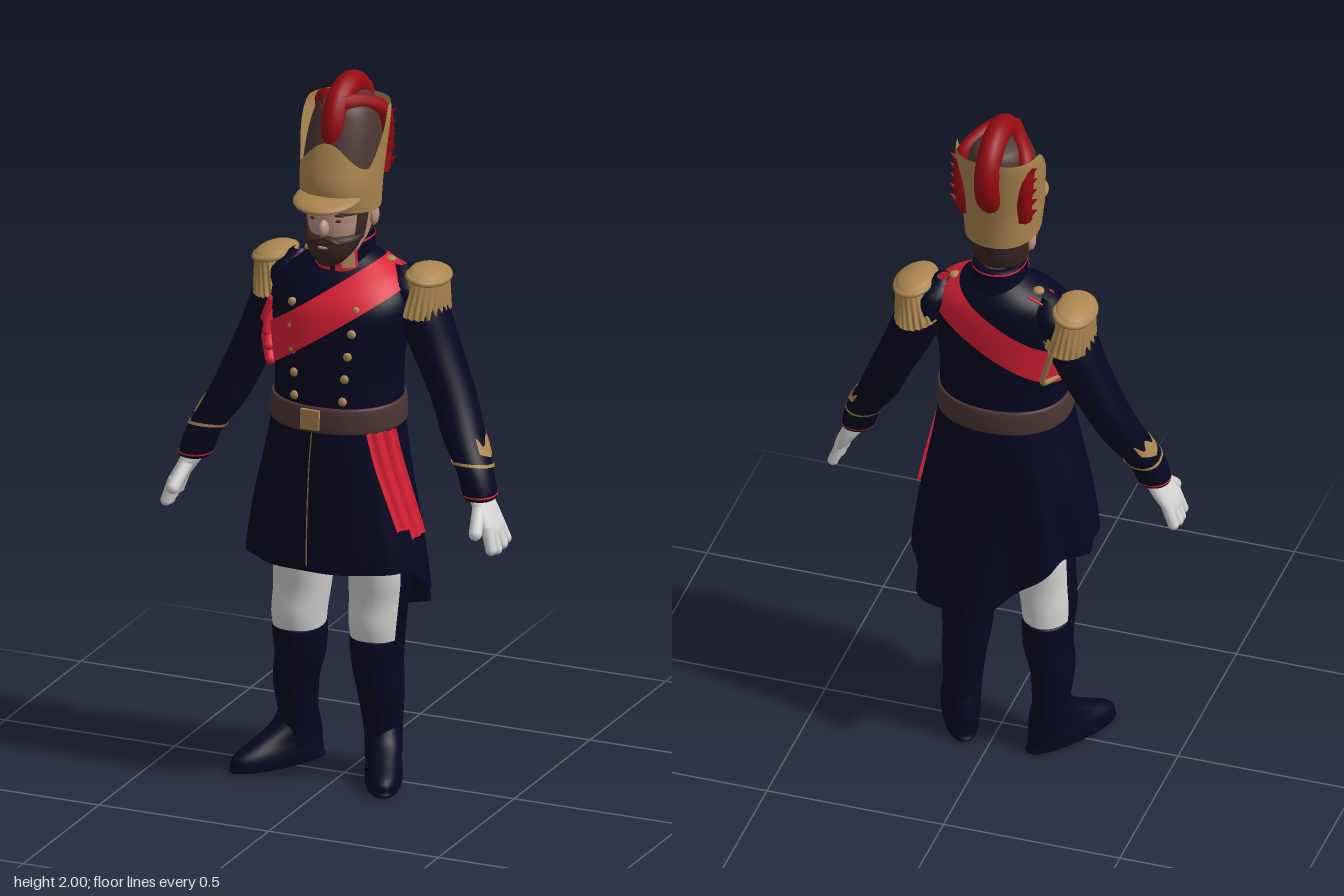
import * as THREE from 'three';
import { mergeVertices } from 'three/addons/utils/BufferGeometryUtils.js';

const make = (name, color, side = THREE.FrontSide) => new THREE.MeshStandardMaterial({ name, color, side });

// Smooth grid surface from a rule (u to the right, v upward, seen from outside)
function surf(fn, nu, nv) {
  const pos = [], index = [];
  for (let j = 0; j <= nv; j++) for (let i = 0; i <= nu; i++) pos.push(...fn(i / nu, j / nv));
  for (let j = 0; j < nv; j++) for (let i = 0; i < nu; i++) {
    const a = j * (nu + 1) + i, b = a + nu + 1;
    index.push(a, a + 1, b, a + 1, b + 1, b);
  }
  let g = new THREE.BufferGeometry();
  g.setAttribute('position', new THREE.Float32BufferAttribute(pos, 3));
  g.setIndex(index);
  g = mergeVertices(g, 1e-5);
  g.computeVertexNormals();
  return g;
}

// Cross-sections are [y, centre x, centre z, radius x, radius z], from low to high
function refine(rows) {
  const c = new THREE.CatmullRomCurve3(rows.map(r => new THREE.Vector3(r[0], r[1], r[2])), false, 'catmullrom');
  const d = new THREE.CatmullRomCurve3(rows.map(r => new THREE.Vector3(r[3], r[4], 0)), false, 'catmullrom');
  const n = (rows.length - 1) * 4;
  return Array.from({ length: n + 1 }, (_, i) => {
    const p = c.getPoint(i / n), q = d.getPoint(i / n);
    return [p.x, p.y, p.z, q.x, q.y];
  });
}
const pw = t => Math.sign(t) * Math.abs(t) ** 0.92;
const ring = (s, a, off = 0) => [s[1] + (s[3] + off) * pw(Math.sin(a)), s[0], s[2] + (s[4] + off) * pw(Math.cos(a))];
function onBody(rows, a, y, off = 0) {
  let i = 0;
  while (i < rows.length - 2 && rows[i + 1][0] < y) i++;
  const t = THREE.MathUtils.clamp((y - rows[i][0]) / (rows[i + 1][0] - rows[i][0]), 0, 1);
  const s = rows[i].map((v, k) => v + (rows[i + 1][k] - v) * t);
  s[0] = y;
  return ring(s, a, off);
}
const loft = (rows, n = 32) => surf((u, v) => ring(rows[Math.round(v * (rows.length - 1))], u * Math.PI * 2), n, rows.length - 1);
const val = (f, ...x) => (typeof f === 'function' ? f(...x) : f);
// Patch lying on a lofted body between two angles and two heights
const wrap = (rows, a0, a1, y0, y1, off, nu = 24, nv = 8) => surf((u, v) => {
  const a = a0 + (a1 - a0) * u, lo = val(y0, a), hi = val(y1, a);
  return onBody(rows, a, lo + (hi - lo) * v, val(off, a, v));
}, nu, nv);

export function createModel() {
  const root = new THREE.Group();
  const navy = make('navy cloth', 0x060621), gold = make('gold', 0xac8650, THREE.DoubleSide);
  const red = make('sash red', 0xdc2036, THREE.DoubleSide), plume = make('plume red', 0x960a11);
  const white = make('white cloth', 0xd4d4d2), brown = make('brown leather', 0x4c3633);
  const skin = make('skin', 0xbc9280), hair = make('dark hair', 0x3c2723, THREE.DoubleSide);

  const add = (name, geo, mat, parent = root) => {
    const m = new THREE.Mesh(geo, mat);
    m.name = name;
    parent.add(m);
    return m;
  };
  const ball = (name, mat, p, s, parent) => {
    const m = add(name, new THREE.SphereGeometry(1, 20, 12), mat, parent);
    m.position.set(...p);
    m.scale.set(...s);
    return m;
  };
  const bar = (name, mat, a, b, r) => {
    const p = new THREE.Vector3(...a), q = new THREE.Vector3(...b), d = q.clone().sub(p);
    const m = add(name, new THREE.CapsuleGeometry(r, d.length(), 5, 10), mat);
    m.position.copy(p).add(q).multiplyScalar(0.5);
    m.quaternion.setFromUnitVectors(new THREE.Vector3(0, 1, 0), d.normalize());
  };
  const TAU = Math.PI * 2;

  // Coat body
  const torso = refine([[1.04, 0, .035, .178, .152], [1.2, 0, .028, .176, .148], [1.3, 0, .018, .19, .148],
    [1.38, 0, .007, .198, .142], [1.44, 0, -.012, .165, .118], [1.48, 0, -.024, .11, .084], [1.51, 0, -.02, .055, .06]]);
  add('coatBody', loft(torso, 48), navy);
  const collar = refine([[1.45, 0, -.02, .085, .095], [1.5, 0, -.016, .074, .088], [1.545, 0, -.016, .07, .082], [1.546, 0, -.016, .05, .06]]);
  add('collar', loft(collar), navy);
  add('collarPiping', wrap(collar, 0, TAU, 1.54, 1.545, .003, 32, 1), red);
  for (const s of [-1, 1]) {
    add('collarTab', wrap(collar, s * .45 - .38, s * .45 + .38, 1.466, 1.53, .006, 8, 3), red);
    add('collarLace', wrap(collar, s * .5 - .22, s * .5 + .22, 1.478, 1.52, .01, 8, 2), gold);
  }

  // Coat skirt, longest at the back left, with a lining
  const skirt = refine([[.42, -.005, 0, .255, .195], [.63, -.01, .02, .25, .18], [.8, -.01, .025, .226, .174],
    [.95, -.005, .03, .196, .168], [1.06, 0, .035, .18, .155]]);
  const hem = a => .64 - .19 * Math.max(0, -Math.cos(a + .3)) ** (Math.sin(a + .3) < 0 ? 3.5 : 1);
  const folds = (a, v) => (1 - v) * Math.cos(9 * (a - Math.PI + .1)) * (.009 - .007 * Math.cos(a));
  add('coatSkirt', wrap(skirt, 0, TAU, hem, 1.06, folds, 96, 14), navy);
  add('skirtLining', wrap(skirt, TAU, 0, hem, 1.04, (a, v) => folds(a, v) - .006, 96, 14), navy);
  add('liningPanel', wrap(skirt, Math.PI + .17, Math.PI - .13, hem, .85, (a, v) => folds(a, v * .55) - .012, 12, 10), brown);
  add('frontPiping', wrap(skirt, -.033, -.02, .66, 1.04, .008, 1, 12), gold);

  // Belt and buckle
  const belt = refine([[1.04, 0, .034, .178, .155], [1.045, 0, .034, .186, .163], [1.105, 0, .034, .184, .161], [1.11, 0, .034, .174, .15]]);
  add('belt', loft(belt, 48), brown);
  const buckle = add('buckle', new THREE.BoxGeometry(.054, .056, .018), gold);
  buckle.position.set(-.012, 1.077, .195);

  // Coat buttons in two rows
  for (let i = 0; i < 5; i++) for (const s of [-1, 1])
    ball('button', gold, onBody(torso, s * (.38 + .02 * i), 1.13 + i * .063, 0), [.0125, .0125, .009]);

  // Diagonal sash following the coat, from left shoulder to right hip
  const sashPoint = (a, base) => {
    let lo = 1.08, hi = 1.52;
    for (let k = 0; k < 22; k++) {
      const y = (lo + hi) / 2;
      if (y < base + .7 * onBody(torso, a, y)[0]) lo = y; else hi = y;
    }
    return onBody(torso, a, lo, .008);
  };
  add('sash', surf((u, v) => sashPoint(u * TAU, 1.3 + .122 * v), 72, 6), red);
  for (let i = 0; i < 4; i++)
    bar('sashBow', red, [-.165 - .01 * i, 1.2 + .035 * i, .12 - .012 * i], [-.195 + .006 * i, 1.25 + .035 * i, .08], .014);
  // Sash ends hanging on the left hip
  for (const [shift, low] of [[-.06, .76], [.18, .73]])
    add('sashEnd', surf((u, v) => onBody(skirt, 1.28 - .32 * v + shift + (u - .5) * .32, low + (1.045 - low) * v,
      .015 + .003 * Math.cos(u * 12)), 10, 12), red);
  // Shoulder cord behind the right arm
  const cord = new THREE.CatmullRomCurve3([[-.2, 1.4, -.14], [-.172, 1.3, -.125], [-.15, 1.22, -.1], [-.17, 1.2, -.03]].map(p => new THREE.Vector3(...p)));
  add('shoulderCord', new THREE.TubeGeometry(cord, 24, .008, 8), gold);

  for (const s of [-1, 1]) {
    const side = s > 0 ? 'left' : 'right';
    // Arm, cuff and glove
    const arm = refine([[.865, .418, .042, .035, .04], [.875, .418, .042, .045, .05], [.94, .398, .03, .048, .055],
      [1.02, .352, 0, .057, .062], [1.12, .308, -.03, .06, .067], [1.25, .248, -.045, .067, .075],
      [1.36, .205, -.045, .07, .08], [1.43, .175, -.045, .06, .075], [1.47, .15, -.045, .015, .02]].map(r => [r[0], r[1] * s, ...r.slice(2)]));
    add(side + 'Sleeve', loft(arm), navy);
    add('cuffPiping', wrap(arm, 0, TAU, .876, .881, .002, 32, 1), red);
    add('cuffLace', wrap(arm, 0, TAU, a => .95 + .012 * Math.cos(a), a => .958 + .012 * Math.cos(a), .004, 32, 1), gold);
    add('cuffEmblem', wrap(arm, s * 1.72 - .7, s * 1.72 + .7, a => .972 + .025 * Math.abs(a * s - 1.72),
      a => 1.016 + .012 * Math.cos(9 * (a * s - 1.72)), .005, 24, 3), gold);
    const palm = refine([[.775, .472, .058, .015, .05], [.8, .462, .055, .022, .054], [.845, .436, .048, .027, .05], [.89, .412, .042, .03, .036]]
      .map(r => [r[0], r[1] * s, ...r.slice(2)]));
    add(side + 'Palm', loft(palm, 20), white);
    for (let i = 0; i < 4; i++)
      bar('finger', white, [s * .462, .8, .018 + .026 * i], [s * (.485 - .003 * Math.abs(i - 1)), .738 + .006 * Math.abs(i - 2), .014 + .03 * i], .0155);
    bar('thumb', white, [s * .43, .85, .075], [s * .446, .795, .135], .018);

    // Epaulette with fringe
    const ep = new THREE.Group();
    ep.name = side + 'Epaulette';
    ep.position.set(s * .226, 1.445, -.052);
    ep.rotation.z = -s * .16;
    root.add(ep);
    ball('epauletteTop', gold, [0, 0, 0], [.056, .026, .08], ep);
    add('fringe', surf((u, v) => {
      const a = u * TAU, w = .004 * Math.cos(24 * a) * (1 - v);
      return [(.066 - .013 * v + w) * Math.sin(a), -.1 + .1 * v + w, (.1 - .022 * v + w) * Math.cos(a)];
    }, 144, 4), gold, ep);
    const rim = add('epauletteRim', new THREE.TorusGeometry(.051, .009, 8, 32), gold, ep);
    rim.rotation.x = Math.PI / 2;
    rim.scale.y = 1.45;
    ball('strapButton', gold, [s * .118, 1.477, -.04], [.016, .01, .016]);
    for (const z of [-.075, -.005]) bar('strapPiping', red, [s * .1, 1.475, z], [s * .17, 1.445, z], .0035);

    // Trousers with outer stripe, boots and feet
    const legX = s > 0 ? [.088, .095, .1, .09] : [-.14, -.128, -.12, -.1];
    const leg = refine([[.38, legX[0], -.022, .064, .086], [.45, legX[0] + .003, -.012, .072, .09], [.52, legX[1], -.01, .076, .086],
      [.61, legX[2], -.005, .081, .094], [.78, legX[3], .005, .088, .1]]);
    add(side + 'Trousers', loft(leg), white);
    add('trouserStripe', wrap(leg, s * 1.6 - .38, s * 1.6 + .38, .39, .75, .004, 8, 12), navy);
    const ax = s > 0 ? .095 : -.155;
    const boot = refine([[.05, ax, -.045, .047, .06], [.13, ax, -.045, .048, .066], [.24, ax, -.03, .058, .078],
      [.32, legX[0], -.024, .064, .088], [.405, legX[0], -.02, .068, .094], [.406, legX[0], -.02, .055, .08]]);
    add(side + 'Boot', loft(boot), navy);
    const foot = refine([[.0, 0, .07, .001, .001], [.001, 0, .07, .044, .14], [.018, 0, .072, .051, .146], [.045, 0, .068, .05, .14],
      [.075, 0, .04, .046, .11], [.11, 0, .012, .047, .075], [.15, 0, .004, .04, .055]]);
    const f = add(side + 'Foot', loft(foot), navy);
    f.position.set(ax, 0, -.05);
    f.rotation.y = s > 0 ? .4 : -.56;
  }

  // Head, beard and hair
  const head = refine([[1.49, 0, .0, .05, .055], [1.53, 0, .025, .062, .085], [1.575, 0, .024, .076, .106],
    [1.62, 0, .022, .084, .112], [1.68, 0, .018, .088, .112], [1.73, 0, .015, .08, .1]]);
  add('head', loft(head), skin);
  const beard = refine([[1.49, 0, .1, .008, .01], [1.497, 0, .098, .03, .032], [1.525, 0, .082, .058, .062],
    [1.555, 0, .07, .073, .076], [1.575, 0, .06, .079, .079], [1.59, 0, .04, .06, .07]]);
  add('beard', loft(beard), hair);
  add('backHair', wrap(head, 1.85, TAU - 1.85, 1.55, 1.68, .007, 24, 5), hair);
  ball('nose', skin, [0, 1.606, .136], [.014, .024, .024]);
  ball('mouth', skin, [0, 1.553, .143], [.016, .005, .006]);
  for (const s of [-1, 1]) {
    add('sideburn', wrap(head, s * 1.22 - .22, s * 1.22 + .22, 1.56, 1.66, .004, 6, 4), hair);
    const m = ball('moustache', hair, [s * .022, 1.573, .134], [.027, .009, .014]);
    m.rotation.z = -s * .3;
    ball('eyebrow', hair, [s * .036, 1.643, .121], [.02, .005, .008]);
    ball('eye', hair, [s * .036, 1.627, .123], [.01, .004, .006]);
    ball('ear', skin, [s * .086, 1.612, -.005], [.012, .03, .02]);
  }

  // Helmet: leather shell, gold front plate, high gold sides and back, visor
  const helmet = refine([[1.64, 0, .016, .094, .114], [1.72, 0, .02, .1, .122], [1.8, 0, .005, .1, .115],
    [1.88, 0, -.012, .09, .1], [1.93, 0, -.02, .066, .08], [1.955, 0, -.02, .008, .01]]);
  add('helmetShell', loft(helmet, 40), brown);
  const wing = a => THREE.MathUtils.smoothstep(Math.abs(a), 1.15, 1.65);
  const flare = (a, v) => .007 + .034 * v ** 3 * wing(a) * Math.abs(Math.sin(a));
  add('helmetPlates', wrap(helmet, -Math.PI, Math.PI, a => 1.635 + .02 * Math.max(0, Math.cos(a)),
    a => 1.765 + .075 * Math.max(0, Math.cos(a)) ** 4 + .155 * wing(a), flare, 96, 18), gold);
  const visor = ball('visor', gold, [0, 1.686, .112], [.092, .02, .103]);
  visor.rotation.x = .12;

  // Crest over the helmet and side plumes
  const crest = add('crest', new THREE.TorusGeometry(.103, .034, 14, 48), plume);
  crest.rotation.y = Math.PI / 2;
  crest.position.set(0, 1.862, -.028);
  const core = add('crestCore', new THREE.CylinderGeometry(.105, .105, .046, 36), plume);
  core.rotation.z = Math.PI / 2;
  core.position.copy(crest.position);
  for (const s of [-1, 1]) {
    const path = new THREE.CatmullRomCurve3([[.015, 1.94, .055], [.055, 1.93, -.005], [.086, 1.9, -.052], [.09, 1.85, -.07], [.086, 1.79, -.073], [.082, 1.72, -.058]]
      .map(p => new THREE.Vector3(s * p[0], p[1], p[2])));
    add('sidePlume', new THREE.TubeGeometry(path, 32, .023, 10), plume);
    for (let i = 0; i < 5; i++) {
      const spike = add('plumeTip', new THREE.ConeGeometry(.012, .03, 6), plume);
      spike.position.set(s * .112, 1.755 + .034 * i, -.068);
      spike.rotation.z = -s * .9;
    }
  }
  return root;
}
